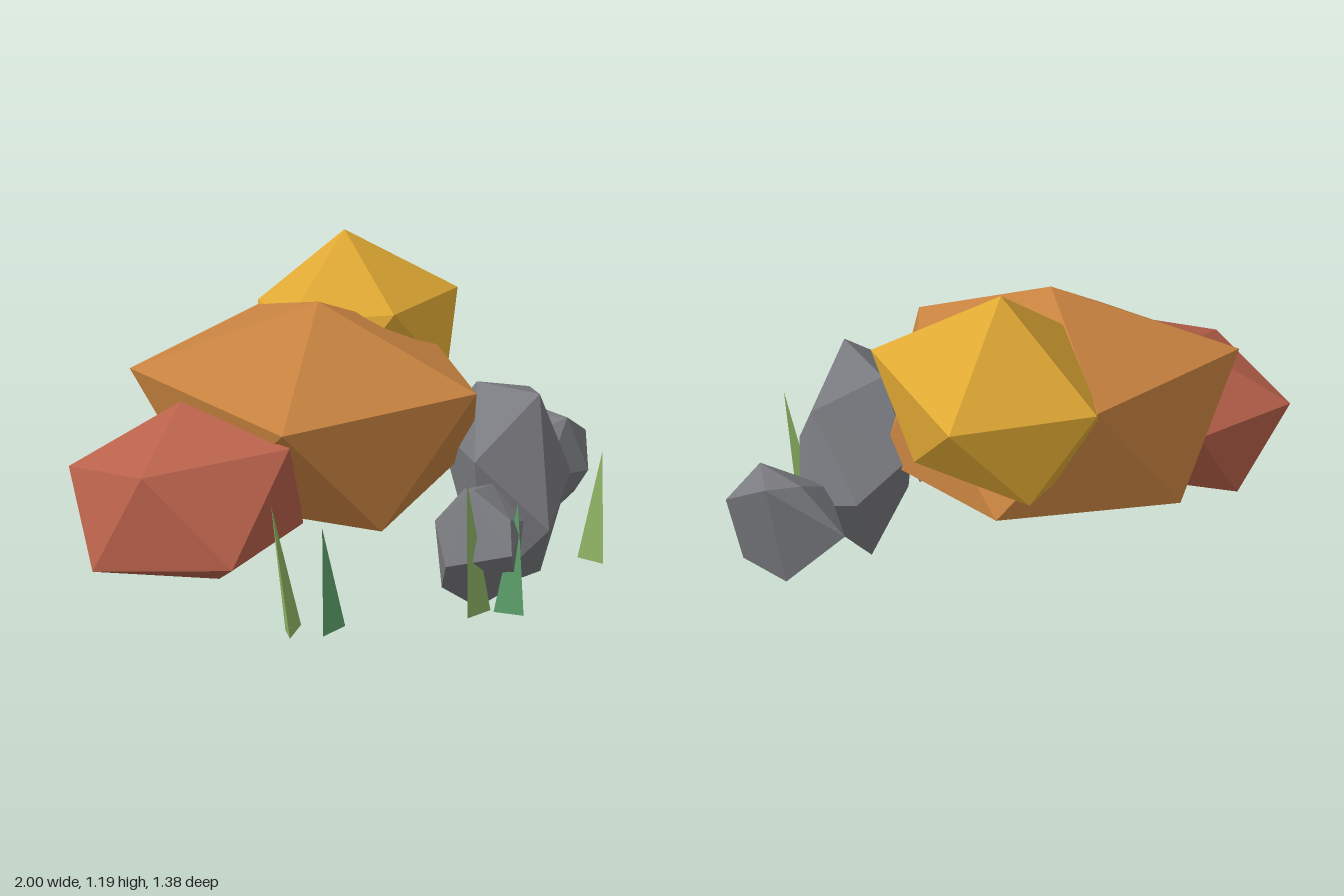
import * as THREE from 'three';
import { ConvexGeometry } from 'three/addons/geometries/ConvexGeometry.js';

const material = (name, color) => {
  const m = new THREE.MeshStandardMaterial({ color });
  m.name = name;
  return m;
};

// Faceted solid wrapped around a handful of corner points (flat normals per face)
function facetedMesh(name, points, mat) {
  const mesh = new THREE.Mesh(new ConvexGeometry(points.map(p => new THREE.Vector3(...p))), mat);
  mesh.name = name;
  return mesh;
}

// Thin blade: flat triangular base, wide along the given angle, with a leaning tip
function blade(name, [x, z], tip, angle, mat) {
  const c = Math.cos(angle), s = Math.sin(angle);
  const base = [[-0.05, 0.01], [0.05, 0.01], [0, -0.025]]
    .map(([u, v]) => [x + u * c - v * s, 0.095, z + u * s + v * c]);
  return facetedMesh(name, [...base, tip], mat);
}

export function createModel() {
  const group = new THREE.Group();
  group.name = 'autumnBushWithRocks';

  const orange = material('orangeLeaves', 0xc88340);
  const yellow = material('yellowLeaves', 0xe0a934);
  const red = material('redLeaves', 0xb8614a);
  const stone = material('greyStone', 0x7a7b80);
  const lightGreen = material('lightGrass', 0x8fb565);
  const darkGreen = material('darkGrass', 0x5fa46c);

  // Foliage clumps: irregular twelve-cornered solids
  group.add(facetedMesh('mainFoliage', [
    [-0.14, 1.03, -0.03], [-0.76, 0.82, -0.19], [-0.42, 0.73, 0.40], [0.26, 0.78, 0.38],
    [0.34, 0.83, -0.20], [-0.17, 0.88, -0.61], [-0.08, 0.35, 0.395], [0.46, 0.42, -0.04],
    [0.14, 0.49, -0.57], [-0.48, 0.455, -0.53], [-0.56, 0.38, 0.03], [-0.12, 0.19, -0.15],
  ], orange));
  group.add(facetedMesh('upperFoliage', [
    [0.09, 1.19, -0.38], [0.485, 0.97, -0.25], [0.30, 0.90, -0.69], [-0.16, 0.89, -0.64],
    [-0.20, 0.93, -0.17], [0.13, 0.96, -0.01], [0.05, 0.60, -0.66], [0.38, 0.65, -0.43],
    [0.35, 0.72, -0.04], [-0.12, 0.66, -0.02], [-0.25, 0.65, -0.40], [0.09, 0.50, -0.30],
  ], yellow));
  group.add(facetedMesh('sideFoliage', [
    [-0.64, 0.75, 0.01], [-1.0, 0.53, -0.11], [-0.85, 0.62, 0.31], [-0.40, 0.69, 0.41],
    [-0.63, 0.36, 0.52], [-1.0, 0.28, 0.20], [-0.58, 0.175, 0.19], [-0.60, 0.56, -0.32],
    [-0.80, 0.235, -0.20], [-0.35, 0.30, -0.11], [-0.25, 0.62, 0.0], [-0.32, 0.38, 0.30],
  ], red));

  // Rocks
  group.add(facetedMesh('largeRock', [
    [0.54, 0.72, 0.30], [0.43, 0.70, 0.04], [0.68, 0.63, -0.03], [0.27, 0.53, 0.36],
    [0.49, 0.30, 0.495], [0.73, 0.38, 0.21], [0.62, 0.005, 0.22], [0.33, 0.03, 0.34],
    [0.51, 0.015, -0.05], [0.75, 0.30, -0.11], [0.56, 0.36, -0.225], [0.37, 0.47, -0.14],
  ], stone));
  group.add(facetedMesh('sideRock', [
    [0.87, 0.47, -0.07], [0.74, 0.45, -0.21], [0.86, 0.455, -0.22], [0.995, 0.38, -0.14],
    [0.95, 0.26, -0.03], [0.96, 0.13, -0.14], [0.81, 0.07, -0.08], [0.82, 0.06, -0.21],
    [0.75, 0.27, 0.0], [0.68, 0.14, -0.17], [0.65, 0.38, -0.12], [0.61, 0.28, -0.285],
  ], stone));
  group.add(facetedMesh('frontRock', [
    [0.25, 0.33, 0.685], [0.20, 0.495, 0.50], [0.28, 0.42, 0.61], [0.10, 0.37, 0.42],
    [0.10, 0.24, 0.51], [0.35, 0.39, 0.57], [0.31, 0.47, 0.42], [0.13, 0.12, 0.42],
    [0.28, 0.005, 0.395], [0.33, 0.16, 0.57], [0.36, 0.20, 0.43], [0.21, 0.17, 0.22],
    [0.28, 0.40, 0.27],
  ], stone));

  // Grass blades: base centre, tip, direction, colour
  [
    [[-0.425, 0.485], [-0.48, 0.53, 0.46], -0.87, lightGreen],
    [[-0.305, 0.525], [-0.33, 0.45, 0.51], -0.42, darkGreen],
    [[0.18, 0.59], [0.15, 0.55, 0.55], -0.26, lightGreen],
    [[0.28, 0.625], [0.31, 0.47, 0.60], 0.66, darkGreen],
    [[0.74, 0.37], [0.77, 0.495, 0.35], 0.96, lightGreen],
  ].forEach(([base, tip, turn, mat], i) => group.add(blade('grassBlade' + (i + 1), base, tip, turn, mat)));

  return group;
}
